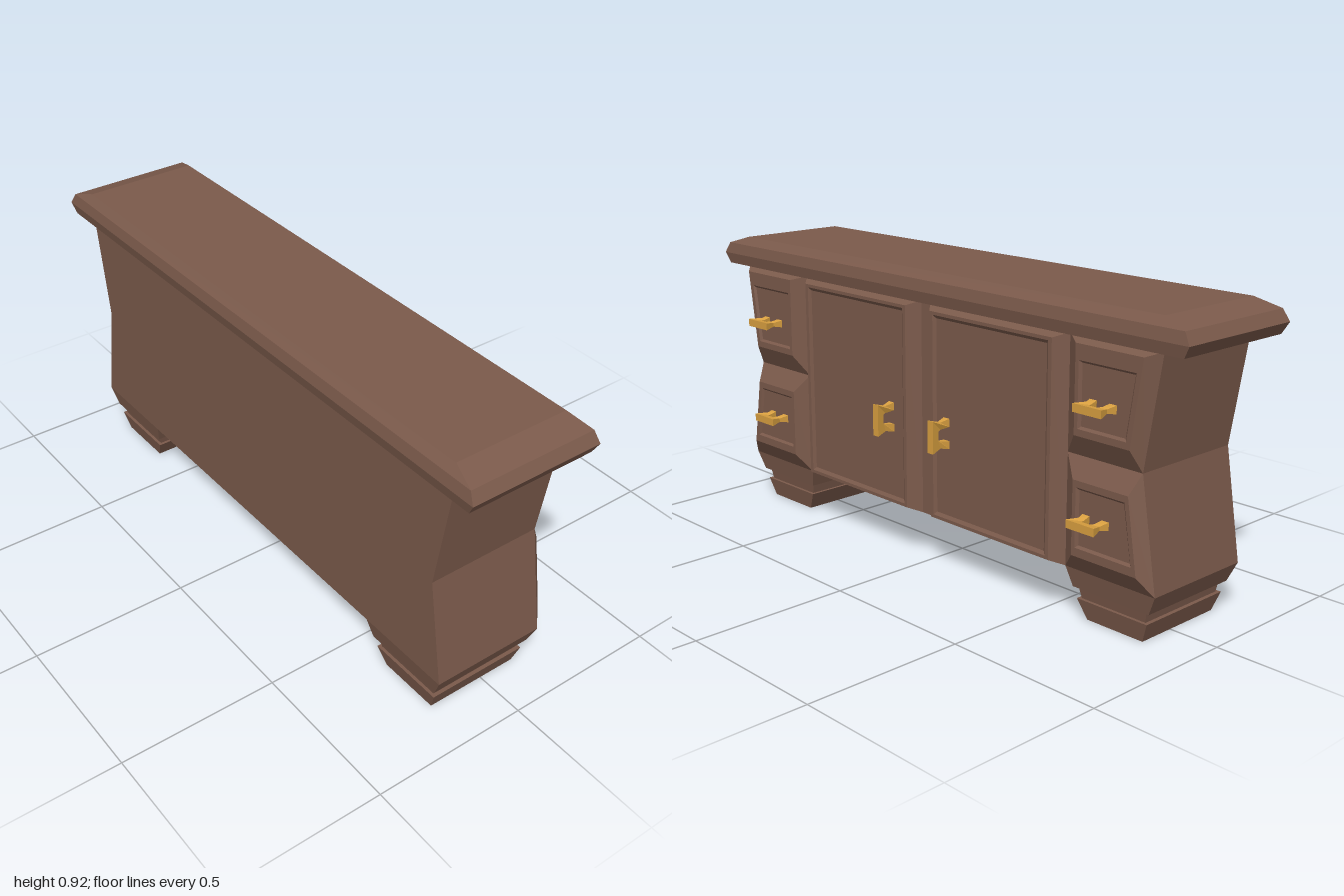
import * as THREE from 'three';

const wood = new THREE.MeshStandardMaterial({ color: 0x7b5a4b });
wood.name = 'brown wood';
const brass = new THREE.MeshStandardMaterial({ color: 0xd9a040 });
brass.name = 'brass';

// Flat-sided solid through matching four-cornered loops, capped at both ends.
function loft(name, loops) {
  const pos = [];
  const quad = (a, b, c, d) => pos.push(...a, ...b, ...c, ...a, ...c, ...d);
  for (let k = 0; k < loops.length - 1; k++) {
    const a = loops[k], b = loops[k + 1];
    for (let i = 0; i < 4; i++) {
      const j = (i + 1) % 4;
      quad(a[i], a[j], b[j], b[i]);
    }
  }
  const s = loops[0], e = loops[loops.length - 1];
  quad(s[3], s[2], s[1], s[0]);
  quad(e[0], e[1], e[2], e[3]);
  const g = new THREE.BufferGeometry();
  g.setAttribute('position', new THREE.Float32BufferAttribute(pos, 3));
  g.computeVertexNormals();
  const mesh = new THREE.Mesh(g, wood);
  mesh.name = name;
  return mesh;
}

// Horizontal rectangle at height y
const ring = (y, x0, x1, z0, z1) => [[x0, y, z1], [x1, y, z1], [x1, y, z0], [x0, y, z0]];

// Upright four-sided loop at depth x; the outer edge may lean
const face = (x, yLow, yHigh, zIn, zOutLow, zOutHigh) => [
  [x, yLow, zOutLow], [x, yLow, zIn], [x, yHigh, zIn], [x, yHigh, zOutHigh],
];

// Mirror a loop to the other side, keeping its winding
const onSide = (loop, side) =>
  side > 0 ? loop : loop.map(([x, y, z]) => [x, y, -z]).reverse();

// Pull with two flared posts and a bar, pinched in thickness at its middle
function makeHandle(name) {
  const shape = new THREE.Shape([
    [0, -0.047], [0.03, -0.04], [0.065, -0.05], [0.065, 0.05], [0.03, 0.04], [0, 0.047],
    [0, 0.022], [0.03, 0.018], [0.04, 0.014], [0.04, -0.014], [0.03, -0.018], [0, -0.022],
  ].map(([x, y]) => new THREE.Vector2(x, y)));
  const g = new THREE.ExtrudeGeometry(shape, { depth: 1, bevelEnabled: false });
  g.translate(0, 0, -0.5);
  const p = g.attributes.position;
  for (let i = 0; i < p.count; i++) {
    const x = p.getX(i);
    const thick = x < 0.03 ? 0.024 - x * 0.4 : 0.012 + (x - 0.03) * 0.34;
    p.setZ(i, p.getZ(i) * thick);
  }
  g.computeVertexNormals();
  const mesh = new THREE.Mesh(g, brass);
  mesh.name = name;
  return mesh;
}

export function createModel() {
  const model = new THREE.Group();
  model.name = 'sideboard';

  // Waisted cabinet body
  model.add(loft('cabinetBody', [
    ring(0.155, -0.22, 0.15, -0.9, 0.9),
    ring(0.49, -0.22, 0.15, -0.845, 0.845),
    ring(0.828, -0.22, 0.15, -0.9, 0.9),
  ]));

  // Moulded top slab
  model.add(loft('topSlab', [
    ring(0.825, -0.242, 0.175, -0.98, 0.98),
    ring(0.86, -0.25, 0.182, -1, 1),
    ring(0.895, -0.242, 0.175, -0.98, 0.98),
    ring(0.92, -0.22, 0.152, -0.9, 0.9),
  ]));

  for (const side of [1, -1]) {
    // Stepped foot
    model.add(loft('foot', [
      ring(0, -0.187, 0.12, 0.64, 0.84),
      ring(0.06, -0.2, 0.132, 0.61, 0.862),
      ring(0.06, -0.19, 0.122, 0.62, 0.85),
      ring(0.095, -0.196, 0.128, 0.612, 0.856),
      ring(0.095, -0.208, 0.139, 0.6, 0.873),
      ring(0.155, -0.22, 0.15, 0.58, 0.9),
    ].map((loop) => loop.map(([x, y, z]) => [x, y, z * side]))
      .map((loop) => (side > 0 ? loop : loop.reverse()))));

    // Drawers and door: bevelled block, front face, sunken panel
    const fronts = {
      upperDrawer: [
        face(0.15, 0.49, 0.825, 0.58, 0.845, 0.9),
        face(0.184, 0.555, 0.81, 0.63, 0.825, 0.862),
        face(0.184, 0.575, 0.765, 0.642, 0.812, 0.84),
        face(0.177, 0.582, 0.758, 0.65, 0.805, 0.832),
      ],
      lowerDrawer: [
        face(0.15, 0.155, 0.49, 0.58, 0.9, 0.845),
        face(0.184, 0.21, 0.43, 0.63, 0.86, 0.825),
        face(0.184, 0.235, 0.41, 0.642, 0.842, 0.814),
        face(0.177, 0.242, 0.403, 0.65, 0.834, 0.807),
      ],
      door: [
        face(0.15, 0.155, 0.825, 0.02, 0.58, 0.58),
        face(0.185, 0.17, 0.81, 0.055, 0.545, 0.545),
        face(0.185, 0.18, 0.8, 0.067, 0.532, 0.532),
        face(0.178, 0.19, 0.79, 0.077, 0.522, 0.522),
      ],
    };
    for (const [name, loops] of Object.entries(fronts)) {
      model.add(loft(name, loops.map((l) => onSide(l, side))));
    }

    // Handles: level on the drawers, upright on the door
    const pulls = [
      ['upperDrawerHandle', 0.655, 0.73, true],
      ['lowerDrawerHandle', 0.328, 0.715, true],
      ['doorHandle', 0.45, 0.125, false],
    ];
    for (const [name, y, z, level] of pulls) {
      const handle = makeHandle(name);
      handle.position.set(0.183, y, z * side);
      if (level) handle.rotation.x = Math.PI / 2;
      model.add(handle);
    }
  }
  return model;
}
